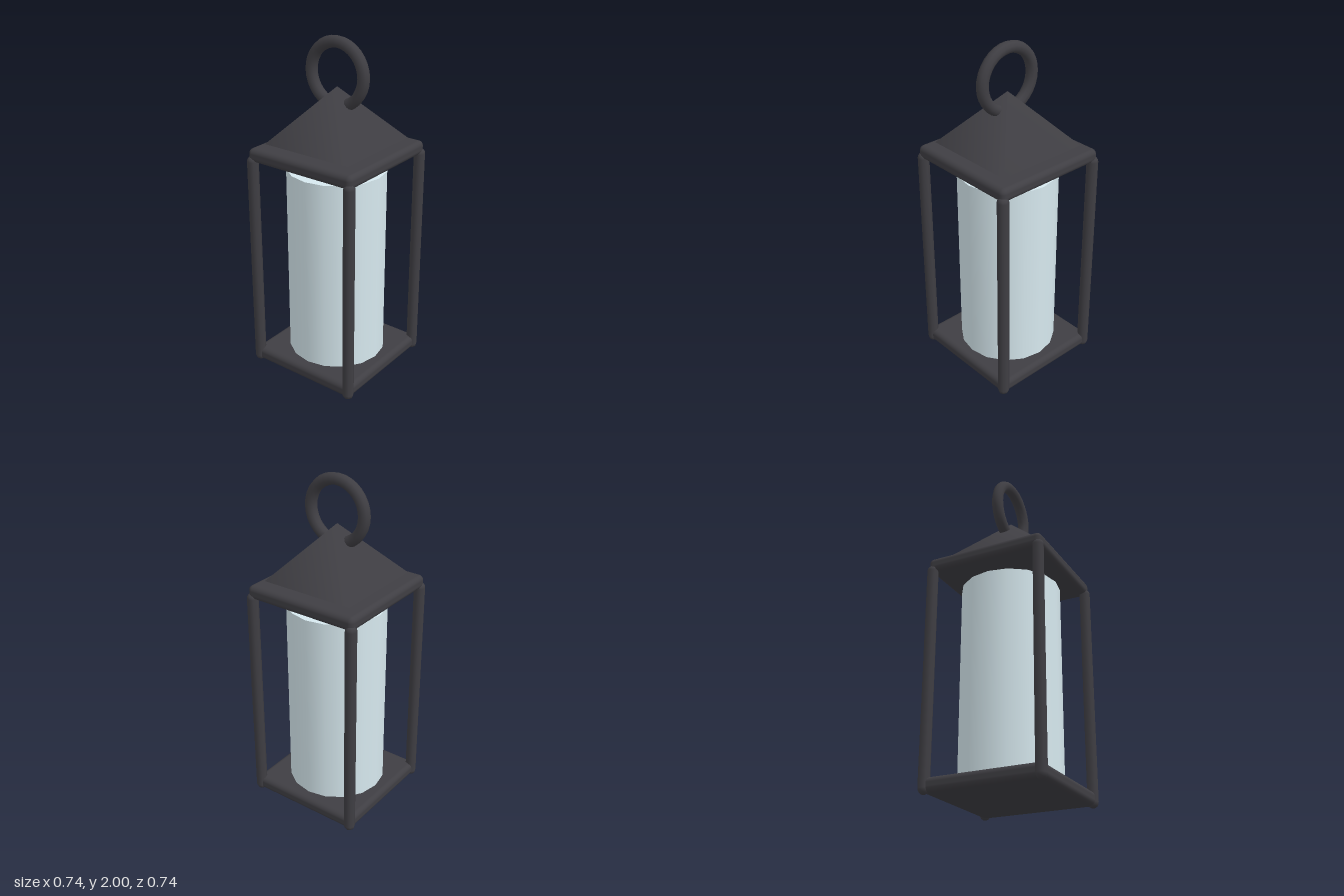
import * as THREE from 'three';
import { RoundedBoxGeometry } from 'three/addons/geometries/RoundedBoxGeometry.js';

export function createModel() {
  const lantern = new THREE.Group();
  lantern.name = 'lantern';
  const iron = new THREE.MeshStandardMaterial({ color: 0x3f3e43 });
  const glass = new THREE.MeshStandardMaterial({ color: 0xd6e8ee });

  const add = (name, geometry, material, x, y, z) => {
    const mesh = new THREE.Mesh(geometry, material);
    mesh.name = name;
    mesh.position.set(x, y, z);
    lantern.add(mesh);
    return mesh;
  };

  // Base and top plates with softened edges
  const plate = new RoundedBoxGeometry(0.712, 0.08, 0.712, 3, 0.03);
  add('basePlate', plate, iron, 0, 0.05, 0);
  add('topPlate', plate, iron, 0, 1.345, 0);

  // Four corner posts with domed ends
  const post = new THREE.CapsuleGeometry(0.033, 1.274, 4, 8);
  for (const x of [-0.335, 0.335]) {
    for (const z of [-0.335, 0.335]) add('cornerPost', post, iron, x, 0.67, z);
  }

  // Glass chimney
  add('glassChimney', new THREE.CylinderGeometry(0.29, 0.29, 1.165, 16), glass, 0, 0.6675, 0);

  // Pyramid roof, floating just above the top plate
  const roof = new THREE.ConeGeometry(0.285 * Math.SQRT2, 0.315, 4);
  roof.rotateY(Math.PI / 4);
  add('pyramidRoof', roof, iron, 0, 1.5625, 0);

  // Carrying ring
  add('carryRing', new THREE.TorusGeometry(0.177, 0.034, 10, 32), iron, 0, 1.789, 0);

  return lantern;
}
